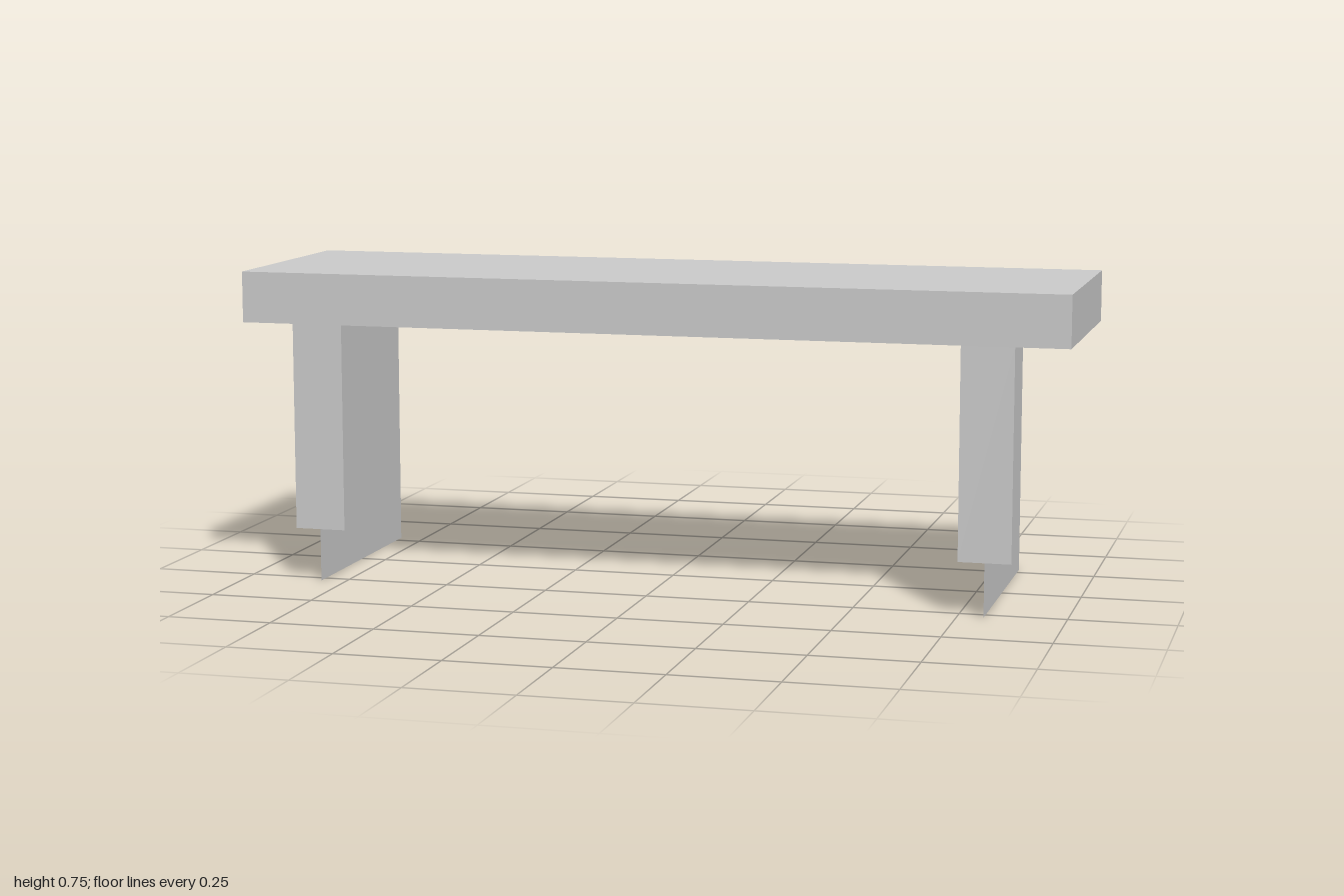
import * as THREE from 'three';

export function createModel() {
  const bench = new THREE.Group();
  bench.name = 'bench';
  const solid = new THREE.MeshStandardMaterial({ color: 0xcccccc, flatShading: true });
  const thin = new THREE.MeshStandardMaterial({ color: 0xcccccc, flatShading: true, side: THREE.DoubleSide });

  const add = (name, geometry, material, x, y, z) => {
    const mesh = new THREE.Mesh(geometry, material);
    mesh.name = name;
    mesh.position.set(x, y, z);
    bench.add(mesh);
  };

  // Seat slab
  add('seat', new THREE.BoxGeometry(2, 0.123, 0.562), solid, 0, 0.6885, 0.002);

  for (const [side, s] of [['left', 1], ['right', -1]]) {
    // Short front post, ending above the ground
    add(`${side}FrontLeg`, new THREE.BoxGeometry(0.124, 0.5, 0.062), solid, s * 0.811, 0.377, 0.249);
    // Thin side panel reaching the ground
    const panel = new THREE.PlaneGeometry(0.563, 0.627).rotateY(s * Math.PI / 2);
    add(`${side}SidePanel`, panel, thin, s * 0.811, 0.3135, -0.0015);
  }
  return bench;
}
